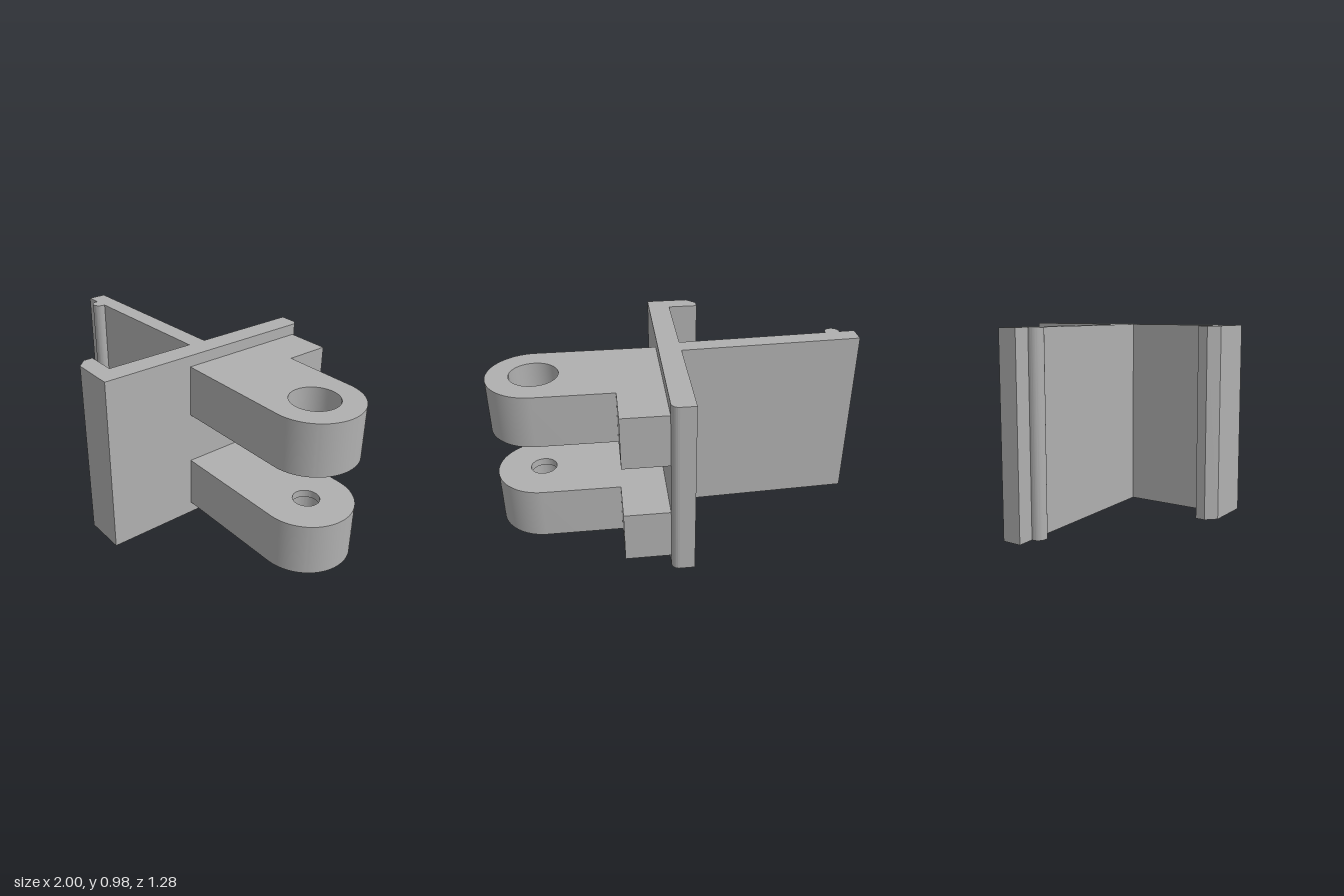
import * as THREE from 'three';
import { toCreasedNormals } from 'three/addons/utils/BufferGeometryUtils.js';

const HEIGHT = 0.98;
const PIN = { x: 0.75, z: -0.115 };

// Raise a plan outline (shape y = -z) from y0 to y1
function raise(shape, y0, y1) {
  const geo = new THREE.ExtrudeGeometry(shape, { depth: y1 - y0, bevelEnabled: false, curveSegments: 32 });
  geo.rotateX(-Math.PI / 2);
  geo.translate(0, y0, 0);
  return toCreasedNormals(geo, 0.5);
}

function addHole(shape, radius) {
  const hole = new THREE.Path();
  hole.absarc(PIN.x, -PIN.z, radius, 0, Math.PI * 2, true);
  shape.holes.push(hole);
  return shape;
}

// Cross-shaped body: plate, hooked lip, tapered arm with bead
function bodyShape() {
  const s = new THREE.Shape();
  s.moveTo(0.1, -0.64);
  s.lineTo(0.1, 0.6);
  s.absarc(0.06, 0.6, 0.04, 0, Math.PI / 2, false);
  s.lineTo(-0.02, 0.64);
  s.lineTo(-0.02, 0.055);
  s.lineTo(-1, 0.02);
  s.lineTo(-1, -0.08);
  s.lineTo(-0.915, -0.077);
  s.lineTo(-0.915, -0.085);
  s.absarc(-0.875, -0.085, 0.04, Math.PI, Math.PI * 2, false);
  s.lineTo(-0.835, -0.074);
  s.lineTo(-0.02, -0.045);
  s.lineTo(-0.02, -0.54);
  s.lineTo(-0.185, -0.54);
  s.lineTo(-0.185, -0.59);
  s.lineTo(-0.135, -0.64);
  s.closePath();
  return s;
}

// Round-ended hinge lug with a square shoulder at the back
function lugShape(holeRadius) {
  const s = new THREE.Shape();
  s.moveTo(0.1, -0.13);
  s.lineTo(PIN.x, -0.13);
  s.absarc(PIN.x, -PIN.z, 0.245, -Math.PI / 2, Math.PI / 2, false);
  s.lineTo(0.34, 0.36);
  s.lineTo(0.34, 0.605);
  s.lineTo(0.1, 0.605);
  s.closePath();
  return addHole(s, holeRadius);
}

// Collar narrowing part of a pin hole
function collarShape(outer, inner) {
  const s = new THREE.Shape();
  s.absarc(PIN.x, -PIN.z, outer, 0, Math.PI * 2, false);
  return addHole(s, inner);
}

export function createModel() {
  const group = new THREE.Group();
  const grey = new THREE.MeshStandardMaterial({ color: 0xb0b0b0 });
  grey.name = 'grey';

  const add = (name, shape, y0, y1) => {
    const mesh = new THREE.Mesh(raise(shape, y0, y1), grey);
    mesh.name = name;
    group.add(mesh);
  };

  add('body', bodyShape(), 0, HEIGHT);

  // Upper lug: counterbored from above
  add('upperLug', lugShape(0.127), 0.635, 0.918);
  add('upperCollar', collarShape(0.127, 0.07), 0.635, 0.77);

  // Lower lug: slightly wider hole beneath a thin collar
  add('lowerLug', lugShape(0.083), 0.065, 0.349);
  add('lowerCollar', collarShape(0.083, 0.07), 0.309, 0.349);

  return group;
}
